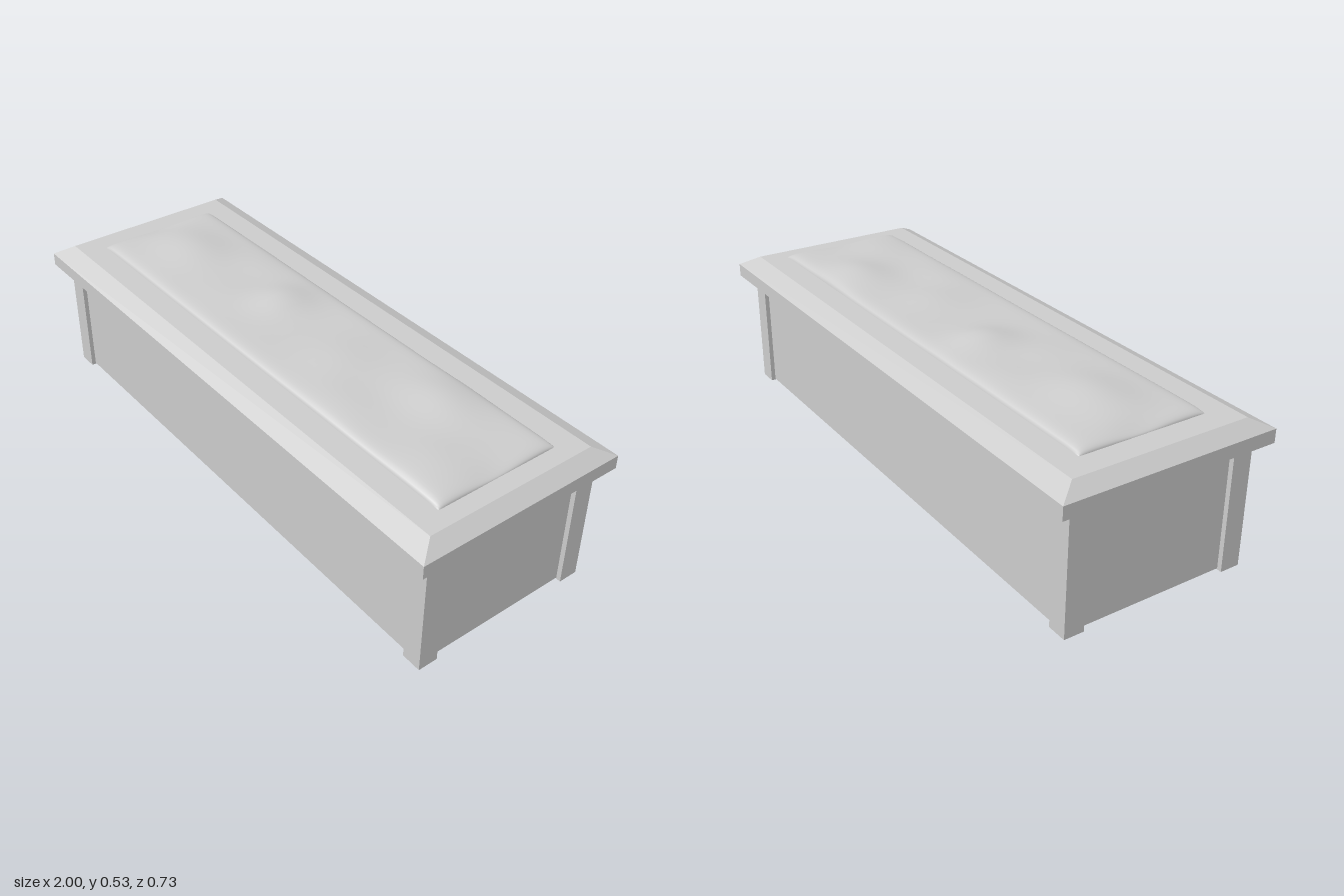
import * as THREE from 'three';

const material = new THREE.MeshStandardMaterial({ color: 0xcccccc });

// Box spanning y0..y1, its top face optionally drawn in to form a chamfer
function block(name, width, depth, y0, y1, topWidth = width, topDepth = depth) {
  const geometry = new THREE.BoxGeometry(width, y1 - y0, depth);
  const p = geometry.attributes.position;
  for (let i = 0; i < p.count; i++) {
    if (p.getY(i) > 0) {
      p.setX(i, Math.sign(p.getX(i)) * topWidth / 2);
      p.setZ(i, Math.sign(p.getZ(i)) * topDepth / 2);
    }
  }
  const flat = geometry.toNonIndexed();
  flat.computeVertexNormals();
  const mesh = new THREE.Mesh(flat, material);
  mesh.name = name;
  mesh.position.y = (y0 + y1) / 2;
  return mesh;
}

// Lumps of earth: x, z, height, x radius, z radius
const lumps = [
  [-0.64, 0.0, 0.026, 0.16, 0.12],
  [-0.17, -0.05, 0.028, 0.09, 0.1],
  [-0.32, 0.06, 0.006, 0.1, 0.1],
  [0.2, 0.0, 0.012, 0.1, 0.12],
  [0.55, -0.1, 0.022, 0.13, 0.1],
  [0.74, 0.1, 0.009, 0.1, 0.1],
  [-0.4, -0.13, 0.006, 0.12, 0.08],
  [0.38, 0.13, 0.006, 0.12, 0.08],
  [-0.87, 0.0, -0.012, 0.06, 0.09],
  [0.89, 0.0, -0.01, 0.06, 0.09],
];

function soilHeight(x, z) {
  let h = 0.02;
  for (const [cx, cz, height, rx, rz] of lumps) {
    h += height * Math.exp(-(((x - cx) / rx) ** 2) - ((z - cz) / rz) ** 2);
  }
  return h;
}

// Uneven mound with rolled-over edges
function soilMound(baseY) {
  const geometry = new THREE.PlaneGeometry(2, 2, 72, 28).rotateX(-Math.PI / 2);
  const p = geometry.attributes.position;
  const roll = (u) => Math.sqrt(Math.max(0, 1 - Math.abs(u) ** 12));
  for (let i = 0; i < p.count; i++) {
    // Rows crowd toward the border so the rolled edge stays smooth
    const u = Math.sin(p.getX(i) * Math.PI / 2);
    const v = Math.sin(p.getZ(i) * Math.PI / 2);
    const x = 0.01 + 0.88 * u;
    const z = 0.22 * v;
    const edge = roll(v) * Math.sqrt(Math.max(0, 1 - Math.abs(u) ** 40));
    p.setXYZ(i, x, baseY + soilHeight(x, z) * edge, z);
  }
  geometry.computeVertexNormals();
  const mesh = new THREE.Mesh(geometry, material);
  mesh.name = 'soil';
  return mesh;
}

export function createModel() {
  const group = new THREE.Group();
  group.name = 'planterBox';

  // Side panels, set slightly back from the posts
  group.add(block('body', 1.9, 0.606, 0.004, 0.42));

  // Corner posts
  for (const sx of [-1, 1]) {
    for (const sz of [-1, 1]) {
      const post = block('cornerPost', 0.067, 0.067, 0, 0.42);
      post.position.x = sx * 0.9325;
      post.position.z = sz * 0.2845;
      group.add(post);
    }
  }

  // Overhanging rim with a chamfered upper edge
  group.add(block('rim', 2, 0.734, 0.41, 0.455));
  group.add(block('rimChamfer', 2, 0.734, 0.455, 0.487, 1.9, 0.606));

  group.add(soilMound(0.486));
  return group;
}
